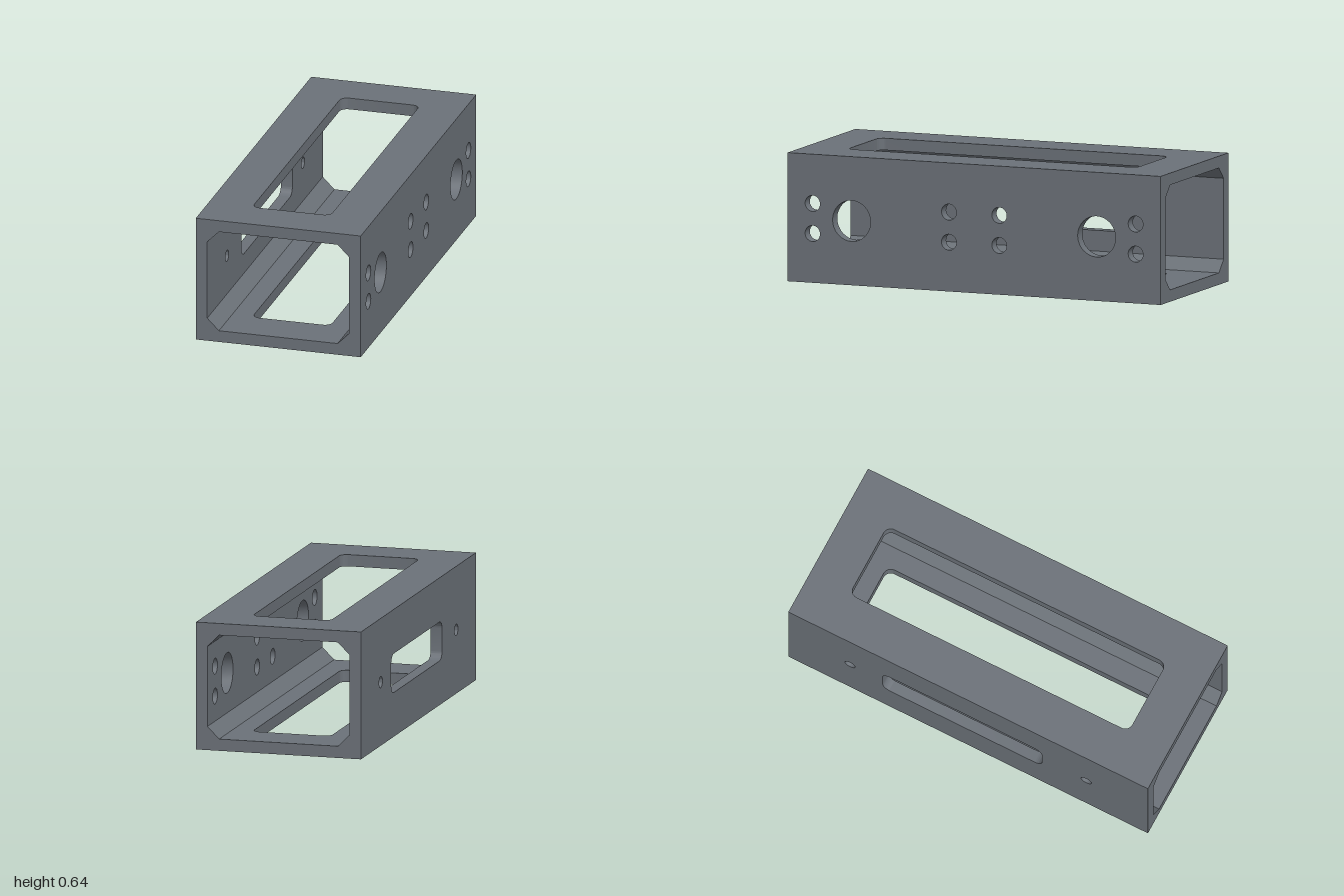
import * as THREE from 'three';
import { mergeGeometries, toCreasedNormals } from 'three/addons/utils/BufferGeometryUtils.js';

const W = 0.424, H = 0.3205, L = 1;  // half width, half height, half length
const T = 0.059, C = 0.06;           // wall thickness, inner corner chamfer

function circle(x, y, r) {
  return new THREE.Path().absarc(x, y, r, 0, Math.PI * 2);
}

function slot(x0, x1, y0, y1, r) {
  const p = new THREE.Path(), q = Math.PI / 2;
  p.absarc(x1 - r, y1 - r, r, 0, q);
  p.absarc(x0 + r, y1 - r, r, q, 2 * q);
  p.absarc(x0 + r, y0 + r, r, 2 * q, 3 * q);
  p.absarc(x1 - r, y0 + r, r, 3 * q, 4 * q);
  p.closePath();
  return p;
}

function rectangle(a, b) {
  return new THREE.Shape([[-a, -b], [a, -b], [a, b], [-a, b]].map(([x, y]) => new THREE.Vector2(x, y)));
}

// Inward-facing lining of a hole, running from z = 0 to z = -T
function lining(path) {
  const pts = path.getPoints(16), pos = [];
  for (let i = 0; i < pts.length - 1; i++) {
    const a = pts[i], b = pts[i + 1];
    if (a.distanceTo(b) < 1e-6) continue;
    pos.push(a.x, a.y, 0, b.x, b.y, 0, a.x, a.y, -T);
    pos.push(b.x, b.y, 0, b.x, b.y, -T, a.x, a.y, -T);
  }
  const g = new THREE.BufferGeometry();
  g.setAttribute('position', new THREE.Float32BufferAttribute(pos, 3));
  return toCreasedNormals(g, 0.6);
}

// Wall with its outer skin at z = 0, inner skin at z = -T, and lined holes
function wall(outer, inner, holes) {
  outer.holes = holes;
  inner.holes = holes;
  const front = new THREE.ShapeGeometry(outer, 16);
  const back = new THREE.ShapeGeometry(inner, 16);
  back.index.array.reverse();
  back.computeVertexNormals();
  back.translate(0, 0, -T);
  const skins = [front, back].map((g) => {
    g.deleteAttribute('uv');
    return g.toNonIndexed();
  });
  return mergeGeometries([...skins, ...holes.map(lining)]);
}

export function createModel() {
  const model = new THREE.Group();
  model.name = 'boxChannel';
  const metal = new THREE.MeshStandardMaterial({ color: 0x6b7178 });
  metal.name = 'slate grey';

  const add = (name, geometry, x, y, z) => {
    const m = new THREE.Mesh(geometry, metal);
    m.name = name;
    m.position.set(x, y, z);
    model.add(m);
  };

  const ix = W - T, iy = H - T; // half size of the inner opening

  // Top and bottom walls with a long window
  for (const s of [1, -1]) {
    const g = wall(rectangle(W, L), rectangle(ix - C, L), [slot(-0.201, 0.201, -0.776, 0.776, 0.04)]);
    g.rotateX(-s * Math.PI / 2);
    add(s > 0 ? 'topWall' : 'bottomWall', g, 0, H + s * H, 0);
  }

  // Side wall with two large bores and four pairs of small holes
  const bores = [-0.657, 0.657].map((u) => circle(u, 0, 0.102));
  for (const u of [-0.866, -0.135, 0.135, 0.866])
    for (const v of [-0.075, 0.075]) bores.push(circle(u, v, 0.04));
  const boredWall = wall(rectangle(L, H), rectangle(L, iy - C), bores);
  boredWall.rotateY(Math.PI / 2);
  add('boredSideWall', boredWall, W, H, 0);

  // Opposite wall with a slot between two small holes
  const slotWall = wall(rectangle(L, H), rectangle(L, iy - C), [
    slot(-0.475, 0.41, -0.098, 0.098, 0.045),
    circle(-0.657, 0, 0.029), circle(0.657, 0, 0.029),
  ]);
  slotWall.rotateY(-Math.PI / 2);
  add('slottedSideWall', slotWall, -W, H, 0);

  // Chamfers along the inner corners
  for (const sx of [1, -1]) for (const sy of [1, -1]) {
    const g = new THREE.PlaneGeometry(C * Math.SQRT2, 2 * L);
    g.rotateX(-Math.PI / 2);
    g.rotateZ(Math.atan2(sx, -sy));
    add('innerChamfer', g, sx * (ix - C / 2), H + sy * (iy - C / 2), 0);
  }

  // End rims around the chamfered opening
  const rim = rectangle(W, H);
  rim.holes.push(new THREE.Path([
    [ix, iy - C], [ix - C, iy], [C - ix, iy], [-ix, iy - C],
    [-ix, C - iy], [C - ix, -iy], [ix - C, -iy], [ix, C - iy],
  ].map(([x, y]) => new THREE.Vector2(x, y))));
  for (const s of [1, -1]) {
    const g = new THREE.ShapeGeometry(rim);
    if (s < 0) g.rotateY(Math.PI);
    add(s > 0 ? 'frontRim' : 'backRim', g, 0, H, s * L);
  }

  return model;
}
